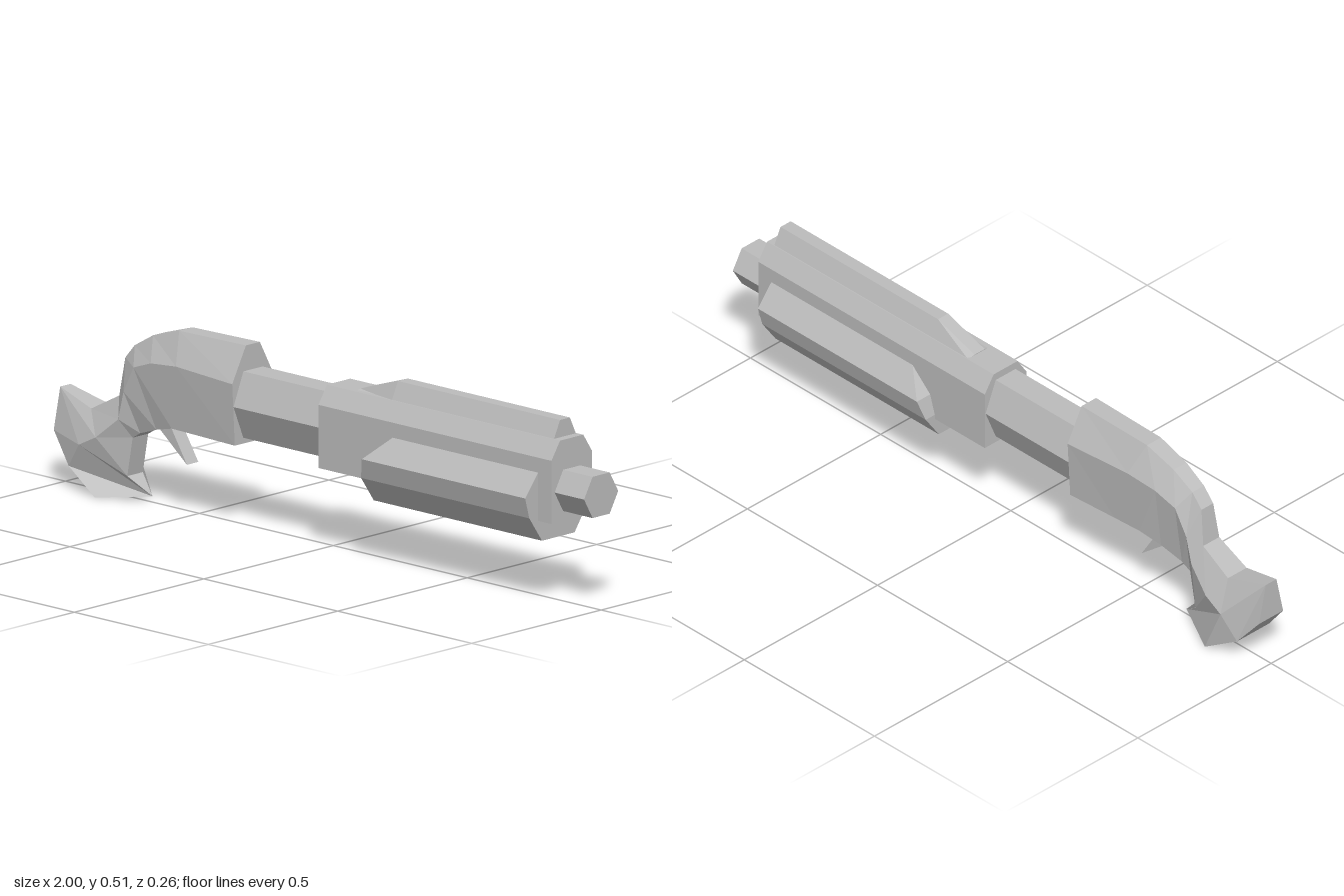
import * as THREE from 'three';

const steel = new THREE.MeshStandardMaterial({ color: 0xbcbcbc, flatShading: true });
steel.name = 'grey steel';

// Skin a row of mirrored cross-sections, listed from low x to high x.
// Each section lists [x, y, halfWidth] from its top to its bottom.
function loft(sections) {
  const pos = [];
  const quad = (a, b, c, d) => pos.push(...a, ...b, ...c, ...a, ...c, ...d);
  const flip = ([x, y, z]) => [x, y, -z];
  const rings = sections.map((s) => [...s, ...s.map(flip).reverse()]);
  const n = rings[0].length;
  for (let r = 0; r < rings.length - 1; r++) {
    const a = rings[r], b = rings[r + 1];
    for (let i = 0; i < n; i++) {
      const j = (i + 1) % n;
      quad(a[i], a[j], b[j], b[i]);
    }
  }
  // end caps
  const first = sections[0], last = sections[sections.length - 1];
  for (let k = 0; k < first.length - 1; k++) {
    quad(last[k], last[k + 1], flip(last[k + 1]), flip(last[k]));
    quad(flip(first[k]), flip(first[k + 1]), first[k + 1], first[k]);
  }
  const g = new THREE.BufferGeometry();
  g.setAttribute('position', new THREE.Float32BufferAttribute(pos, 3));
  g.computeVertexNormals();
  return g;
}

// Straight bar with one constant [y, halfWidth] profile
const bar = (x0, x1, profile) =>
  loft([x0, x1].map((x) => profile.map(([y, w]) => [x, y, w])));

export function createModel() {
  const gun = new THREE.Group();
  gun.name = 'shotgun';
  const add = (name, geometry) => {
    const mesh = new THREE.Mesh(geometry, steel);
    mesh.name = name;
    gun.add(mesh);
  };

  // receiver flowing into the neck and the flared grip
  add('receiverAndGrip', loft([
    [[-1, 0.155, 0.045], [-0.93, 0.07, 0.06], [-0.82, 0.004, 0.073]],
    [[-1, 0.27, 0.02], [-0.88, 0.14, 0.073], [-0.675, 0.02, 0]],
    [[-0.87, 0.235, 0.035], [-0.82, 0.17, 0.07], [-0.74, 0.07, 0.03]],
    [[-0.77, 0.288, 0.03], [-0.75, 0.23, 0.055], [-0.72, 0.18, 0.03]],
    [[-0.755, 0.395, 0.022], [-0.73, 0.31, 0.055], [-0.69, 0.198, 0.032]],
    [[-0.72, 0.435, 0.022], [-0.69, 0.385, 0.058], [-0.62, 0.222, 0.042]],
    [[-0.65, 0.475, 0.024], [-0.62, 0.41, 0.064], [-0.55, 0.24, 0.055]],
    [[-0.55, 0.506, 0.026], [-0.52, 0.42, 0.07], [-0.46, 0.24, 0.06]],
    [[-0.3, 0.51, 0.027], [-0.3, 0.412, 0.08], [-0.3, 0.24, 0.07]],
  ]));

  // trigger spike
  const spike = new THREE.Shape([
    new THREE.Vector2(-0.63, 0.235), new THREE.Vector2(-0.625, 0.218),
    new THREE.Vector2(-0.525, 0.138), new THREE.Vector2(-0.59, 0.24),
  ]);
  const trigger = new THREE.ExtrudeGeometry(spike, { depth: 0.044, bevelEnabled: false });
  trigger.translate(0, 0, -0.022);
  add('trigger', trigger);

  // exposed six-sided tube between receiver and shroud
  add('innerTube', bar(-0.32, 0.04, [[0.44, 0.037], [0.348, 0.075], [0.256, 0.037]]));

  // barrel shroud
  add('shroud', bar(0.02, 0.89, [[0.462, 0.045], [0.412, 0.078], [0.237, 0.078]]));

  // top rail with a ramped rear end
  add('topRail', loft([
    [[0.12, 0.464, 0.019], [0.12, 0.46, 0.043]],
    [[0.26, 0.51, 0.019], [0.26, 0.46, 0.043]],
    [[0.865, 0.51, 0.019], [0.865, 0.46, 0.043]],
  ]));

  // pump fore-end with a slanted rear
  add('foreEnd', loft([
    [[0.3, 0.373, 0.076], [0.23, 0.308, 0.128], [0.212, 0.25, 0.112], [0.212, 0.179, 0.063]],
    [[0.84, 0.373, 0.076], [0.84, 0.308, 0.128], [0.84, 0.25, 0.112], [0.84, 0.179, 0.063]],
  ]));

  // six-sided muzzle
  const muzzle = new THREE.CylinderGeometry(0.066, 0.066, 0.13, 6);
  muzzle.rotateZ(-Math.PI / 2);
  muzzle.translate(0.935, 0.322, 0);
  add('muzzle', muzzle);

  return gun;
}
